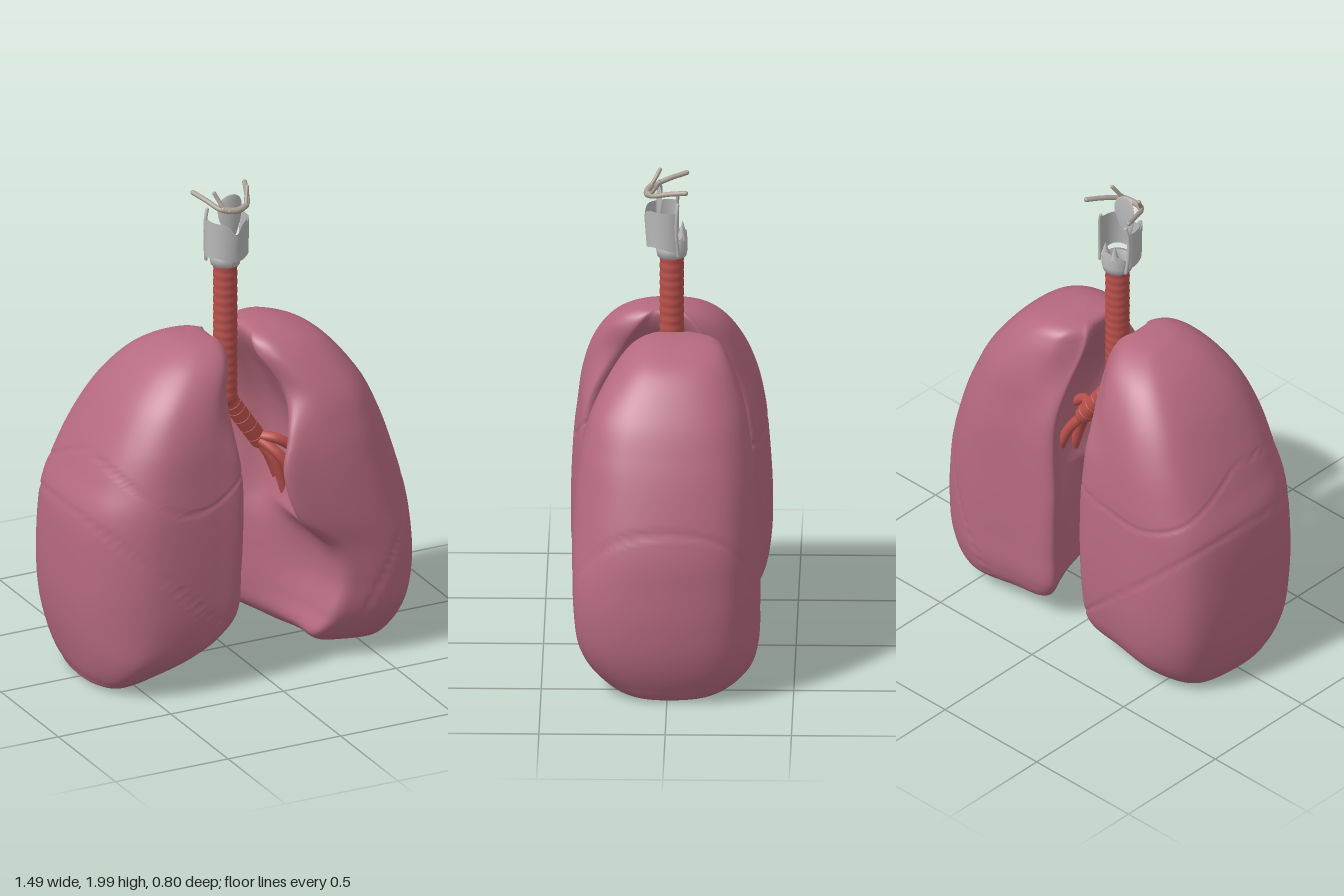
import * as THREE from 'three';

const mat = (color, side = THREE.FrontSide) => new THREE.MeshStandardMaterial({ color, side });
const V = (x, y, z) => new THREE.Vector3(x, y, z);

function add(parent, name, geometry, material, x = 0, y = 0, z = 0) {
  const mesh = new THREE.Mesh(geometry, material);
  mesh.name = name;
  mesh.position.set(x, y, z);
  parent.add(mesh);
  return mesh;
}

// Tube through a few points, closed with round ends
function addTube(parent, name, points, r, material) {
  const curve = new THREE.CatmullRomCurve3(points.map(p => V(...p)));
  add(parent, name, new THREE.TubeGeometry(curve, 24, r, 12), material);
  for (const t of [0, 1]) {
    const p = curve.getPoint(t);
    add(parent, name + 'End', new THREE.SphereGeometry(r, 12, 8), material, p.x, p.y, p.z);
  }
  return curve;
}

// Levels: [y, lateral x, medial back x, medial front x, hilum x, back z, front z]
const LEFT = [
  [1.38, .17, .17, .17, .17, -.03, -.03],
  [1.365, .27, .085, .09, .09, -.17, .09],
  [1.30, .41, .06, .08, .09, -.235, .18],
  [1.15, .535, .075, .165, .17, -.295, .28],
  [1.0, .61, .085, .13, .23, -.325, .33],
  [.85, .665, .08, .095, .25, -.345, .355],
  [.65, .72, .065, .16, .23, -.355, .37],
  [.5, .735, .065, .31, .19, -.36, .37],
  [.35, .74, .065, .345, .18, -.36, .365],
  [.2, .725, .07, .3, .18, -.355, .345],
  [.08, .68, .13, .265, .2, -.315, .28],
  [.01, .62, .27, .36, .29, -.2, .17],
  [.02, .48, .48, .48, .48, 0, 0],
];
const RIGHT = [
  [1.4, .17, .17, .17, .17, .04, .04],
  [1.385, .26, .085, .085, .09, -.09, .14],
  [1.32, .38, .06, .07, .09, -.2, .23],
  [1.2, .5, .07, .11, .15, -.28, .3],
  [1.05, .595, .1, .115, .21, -.335, .345],
  [.9, .67, .105, .1, .24, -.365, .365],
  [.75, .73, .1, .1, .25, -.38, .38],
  [.5, .745, .11, .115, .22, -.395, .39],
  [.3, .735, .12, .14, .2, -.39, .385],
  [.15, .705, .13, .29, .2, -.36, .35],
  [.05, .67, .17, .44, .25, -.295, .26],
  [.02, .63, .25, .47, .3, -.22, .18],
  [.07, .45, .45, .45, .45, 0, 0],
];

// Lobe boundaries: signed distance from each fissure
const LEFT_FISSURES = [(x, y) => (y - 2 * x + .66) / 2.24];
const RIGHT_FISSURES = [
  (x, y, z) => y - .79 - 2.2 * (x - .33) ** 2 * (z > 0 ? 1 : Math.exp(z * 4)),
  (x, y) => (y - .08 - .955 * x) / 1.38,
];

// Lung skinned over D-shaped sections with a hollow medial side
function lungGeometry(levels, side, fissures) {
  const rows = 150, cols = 140, pos = [], index = [];
  const shoulder = side > 0 ? .71 : .77;
  const tracks = levels[0].map((_, k) =>
    new THREE.SplineCurve(levels.map(l => new THREE.Vector2(l[k], 0))));
  for (let i = 0; i <= rows; i++) {
    const [y0, xo, xb, xf, xh, zb, zf] = tracks.map(t => t.getPoint(i / rows).x);
    const wb = xo - xb, wf = xo - xf;
    // corners round off towards the apex
    const corner = .9 - .3 * THREE.MathUtils.smoothstep(y0, .95, 1.36);
    const ring = new THREE.CatmullRomCurve3([
      [xb, zb * (corner - .06)], [xb + wb * .04, zb * (corner + .015)],
      [xb + wb * .25, zb * .955], [xb + wb * .65, zb],
      [xo - wb * .09, zb * shoulder], [xo, zb * .08], [xo - wf * .08, zf * .62],
      [xo - wf * .33, zf * .97], [xf + wf * .2, zf], [xf, zf * (corner + .02)],
      [Math.max(xh, xf * .75 + xh * .25), zf * .4], [xh, zb * .25],
      [xb + (xh - xb) * .45, zb * .56 * corner / .9],
    ].map(p => V(p[0], 0, p[1])), true, 'centripetal');
    for (let j = 0; j < cols; j++) {
      let { x, z } = ring.getPoint(j / cols);
      // base rises towards the middle
      const y = y0 + .1 * (.6 - x) * Math.max(0, 1 - y0 / .2);
      // fine fissure grooves
      for (const f of fissures) {
        const g = .006 * Math.exp(-((f(x, y, z) / .007) ** 2));
        const dx = x - .4, len = Math.hypot(dx, z) || 1;
        x -= g * dx / len;
        z -= g * z / len;
      }
      pos.push(side * x, Math.max(0, y), z);
      if (i === rows) continue;
      const n = (j + 1) % cols;
      const a = i * cols + j, b = i * cols + n, c = a + cols, d = b + cols;
      if (side > 0) index.push(a, b, c, b, d, c);
      else index.push(a, c, b, b, c, d);
    }
  }
  const g = new THREE.BufferGeometry();
  g.setAttribute('position', new THREE.Float32BufferAttribute(pos, 3));
  g.setIndex(index);
  g.computeVertexNormals();
  return g;
}

// Move every vertex by a rule
function reshape(g, rule) {
  const p = g.attributes.position, v = V(0, 0, 0);
  for (let i = 0; i < p.count; i++) {
    rule(v.fromBufferAttribute(p, i));
    p.setXYZ(i, v.x, v.y, v.z);
  }
  g.computeVertexNormals();
  return g;
}

export function createModel() {
  const model = new THREE.Group();
  model.name = 'respiratorySystem';
  const lungMat = mat(0xb56a7c), airwayMat = mat(0xb9504c);
  const cartilage = mat(0xb8b8b8, THREE.DoubleSide), bone = mat(0xaaa196);

  add(model, 'leftLung', lungGeometry(LEFT, 1, LEFT_FISSURES), lungMat);
  add(model, 'rightLung', lungGeometry(RIGHT, -1, RIGHT_FISSURES), lungMat);

  // Trachea with very shallow cartilage rings
  const profile = [];
  for (let i = 0; i <= 96; i++) {
    profile.push(new THREE.Vector2(.048 + .001 * Math.sin(i / 96 * 16 * 2 * Math.PI), 1.09 + .59 * i / 96));
  }
  add(model, 'trachea', new THREE.LatheGeometry(profile, 32), airwayMat, 0, 0, -.008);
  add(model, 'carina', new THREE.SphereGeometry(.05, 20, 14), airwayMat, 0, 1.09, -.01);

  // Main bronchi and their branches, which run outwards and down
  for (const s of [1, -1]) {
    const bronchi = new THREE.Group();
    bronchi.name = s > 0 ? 'leftBronchi' : 'rightBronchi';
    model.add(bronchi);
    const drop = s > 0 ? .03 : 0;
    const main = addTube(bronchi, 'mainBronchus',
      [[0, 1.1, -.012], [s * .06, 1.02 - drop / 2, -.02], [s * .16, .89 - drop, -.03]], .037, airwayMat);
    for (let i = 1; i <= 6; i++) {
      const ring = add(bronchi, 'bronchusRing', new THREE.TorusGeometry(.036, .003, 8, 20), airwayMat);
      ring.position.copy(main.getPoint(i / 6.5));
      ring.quaternion.setFromUnitVectors(V(0, 0, 1), main.getTangent(i / 6.5));
    }
    for (const [x, y, z] of [[.31, .83, .04], [.29, .7, .07], [.27, .62, .01], [.28, .65, -.07]]) {
      addTube(bronchi, 'branchBronchus', [[s * .14, .91 - drop, -.03],
        [s * .21, (y + .98) / 2 - drop, z * .8], [s * x, y - drop, z]], .021, airwayMat);
    }
  }

  const larynx = new THREE.Group();
  larynx.name = 'larynx';
  model.add(larynx);

  // Cricoid ring, taller at the back
  const cricoid = new THREE.LatheGeometry([[.045, -.025], [.058, -.025], [.063, 0], [.06, .025], [.047, .025], [.045, -.025]]
    .map(p => new THREE.Vector2(...p)), 32);
  add(larynx, 'cricoid', reshape(cricoid, v => { if (v.y > 0) v.y += .05 * Math.max(0, -v.z / .058); }),
    cartilage, 0, 1.685, -.008);

  // Thyroid shield, open behind, notched in front
  for (const r of [.087, .079]) {
    const shield = new THREE.CylinderGeometry(r, r, 1, 48, 8, true, -1.95, 3.9);
    add(larynx, 'thyroidShield', reshape(shield, v => {
      const a = Math.atan2(v.x, v.z), t = v.y + .5;
      const top = 1.862 - .045 * Math.exp(-((a / .3) ** 2));
      const bottom = 1.7 + .015 * Math.sin(Math.abs(a) * 1.6) ** 2;
      v.y = bottom + (top - bottom) * t;
      if (v.z > 0) v.z *= 1 + .1 * t * Math.cos(a);
    }), cartilage, 0, 0, .005);
  }

  for (const s of [1, -1]) {
    addTube(larynx, 'thyroidHorn', [[s * .072, 1.68, -.035], [s * .079, 1.76, -.028],
      [s * .078, 1.85, -.028], [s * .068, 1.895, -.032]], .007, cartilage);
    add(larynx, 'arytenoid', new THREE.ConeGeometry(.018, .06, 12), cartilage, s * .025, 1.765, -.05);
    // Hyoid horns
    addTube(model, 'hyoidGreaterHorn', [[s * .03, 1.925, .09], [s * .06, 1.93, .065],
      [s * .09, 1.95, 0], [s * .115, 1.964, -.065]], .01, bone);
    addTube(model, 'hyoidLesserHorn', [[s * .05, 1.935, .075], [s * .062, 1.965, .055], [s * .073, 1.992, .04]], .008, bone);
  }
  addTube(model, 'hyoidBody', [[-.05, 1.93, .075], [-.025, 1.925, .087], [0, 1.923, .091],
    [.025, 1.925, .087], [.05, 1.93, .075]], .013, bone);

  // Epiglottis: curved leaf, broad above and narrowing to a stalk
  const leaf = new THREE.SphereGeometry(1, 28, 20);
  add(larynx, 'epiglottis', reshape(leaf, v => {
    const x = v.x * .066 * (.75 + .35 * v.y);
    v.set(x, v.y * .1, v.z * .008 - 5 * x ** 2);
  }), cartilage, 0, 1.875, .045);

  return model;
}
